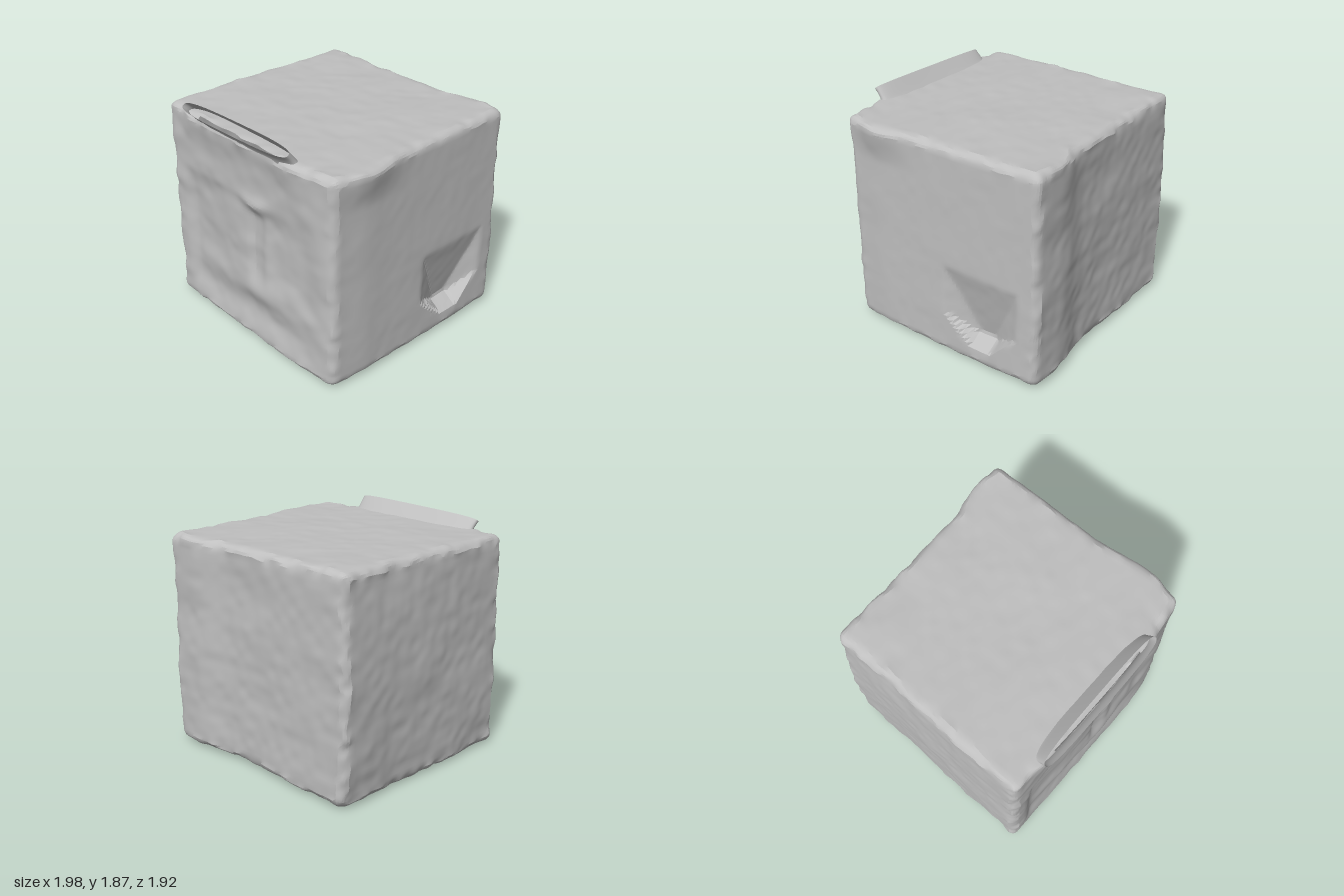
import * as THREE from 'three';
import { toCreasedNormals } from 'three/addons/utils/BufferGeometryUtils.js';

const stone = new THREE.MeshStandardMaterial({ color: 0xbfbfbf, side: THREE.DoubleSide });
stone.name = 'stone grey';

const ss = THREE.MathUtils.smoothstep;
const lerp = THREE.MathUtils.lerp;
const bump = (v, c, w) => Math.exp(-(((v - c) / w) ** 2));

// Seeded value noise, about -1..1
function hash(i, j, k) {
  const s = Math.sin(i * 127.1 + j * 311.7 + k * 74.7) * 43758.5453;
  return (s - Math.floor(s)) * 2 - 1;
}
function noise(x, y, z) {
  const [i, j, k] = [x, y, z].map(Math.floor);
  const [a, b, c] = [x - i, y - j, z - k].map((t) => t * t * (3 - 2 * t));
  let sum = 0;
  for (let n = 0; n < 8; n++) {
    const [p, q, r] = [n & 1, (n >> 1) & 1, n >> 2];
    sum += hash(i + p, j + q, k + r) * (p ? a : 1 - a) * (q ? b : 1 - b) * (r ? c : 1 - c);
  }
  return sum;
}

// Shallow relief on the front: raised frame, brow, central step, lower bulge, swell under the lip
function frontRelief(x, y) {
  const inside = ss(x, -0.8, -0.68) * (1 - ss(x, 0.6, 0.85));
  const low = 1 - ss(y, 1.12, 1.3 + 0.25 * ss(x, 0.15, 0.6));
  const panel = -0.035 * inside * low * ss(y, 0.05, 0.3);
  const mid = ss(y, 0.5, 0.7) * (1 - ss(y, 1.12, 1.25));
  const step = 0.028 * mid * (ss(x, -0.6, -0.05) * (1 - ss(x, -0.01, 0.07)) + 0.6 * bump(x, 0.22, 0.06));
  const browKnob = 0.025 * bump(y, 1.25 + 0.2 * Math.max(0, x - 0.1), 0.06) * bump(x, 0.12, 0.16);
  const bulge = 0.045 * bump(y, 0.5, 0.13) * bump(x, 0.05, 0.55);
  const swell = 0.025 * ss(y, 1.5, 1.74) * ss(x, -0.75, -0.6) * (1 - ss(x, 0.5, 0.65));
  const chips = 0.01 * noise(x * 6, y * 8, 3.5) * ss(y, 0.05, 0.3);
  return 0.006 + panel + step + browKnob + bulge + swell + chips;
}

// Faceted dent low on the right side: long slope going in, sharp ledge below
function dent(y, z) {
  const side = Math.abs(z + 0.44);
  const floor = 0.16 + 0.95 * Math.max(0, side - 0.09);
  const slope = (0.8 - y) / 0.55, flank = (0.34 - side) / 0.28, ledge = (y - floor) / 0.09;
  return 0.13 * Math.max(0, Math.min(slope, flank, ledge, 1));
}

// Moves a point of the unit cube onto the worn, slightly skewed block
function shape(p) {
  const r = 0.07;
  const core = p.clone().clampScalar(-1 + r, 1 - r);
  p.sub(core).setLength(Math.min(r, p.length() || r)).add(core);
  const { x: u, y: v, z: w } = p;
  const right = (u + 1) / 2, back = (1 - w) / 2, up = (v + 1) / 2, front = ss(w, 0.8, 1);

  const xMax = 0.962 - 0.078 * back - 0.015 * back * up - 0.025 * ss(w, 0.6, 1)
    + 0.05 * bump(w, 0.62, 0.28) * ss(up, 0.82, 1);
  const xMin = -0.93 - 0.018 * back - 0.035 * Math.sin(Math.PI * up) * Math.sqrt(back);
  const zMax = 0.89 - 0.06 * right - 0.03 * ss(u, 0.65, 1);
  const zMin = -0.84 - 0.055 * right - 0.06 * ss(u, 0.3, 0.7);
  const yMin = 0.01 + 0.015 * right + 0.015 * ss(back, 0.7, 1);

  let x = lerp(xMin, xMax, right);
  const y = lerp(yMin, 1.77, up);
  let z = lerp(zMin, zMax, 1 - back);

  z += front * frontRelief(x, y);
  x -= ss(u, 0.9, 1) * dent(y, z);

  // Broad undulation, with finer chipping along the edges
  const edge = [u, v, w].filter((c) => Math.abs(c) > 0.93).length > 1 ? 0.013 : 0.004;
  const wave = (s) => 0.012 * noise(u * 2.6 + s, v * 3.4, w * 2.6 + s) + edge * noise(u * 11 + s, v * 11, w * 11);
  const calm = 1 - 0.7 * ss(u, 0.9, 1);
  p.set(x + wave(5) * calm, y + 0.7 * wave(17), z + wave(31) * (1 - 0.4 * front));
}

function block() {
  const n = 64;
  const geo = new THREE.BoxGeometry(2, 2, 2, n, n, n);
  const pos = geo.attributes.position;
  const p = new THREE.Vector3();

  // Open a slot along the top front edge, under the lip
  const inSlot = (i) => {
    p.fromBufferAttribute(pos, i);
    return p.y + p.z > 1.95 && p.x > -0.58 && p.x < 0.5;
  };
  const kept = [];
  const idx = geo.index.array;
  for (let i = 0; i < idx.length; i += 3) {
    const tri = [idx[i], idx[i + 1], idx[i + 2]];
    if (!tri.every(inSlot)) kept.push(...tri);
  }
  geo.setIndex(kept);
  geo.clearGroups();

  for (let i = 0; i < pos.count; i++) {
    p.fromBufferAttribute(pos, i);
    shape(p);
    pos.setXYZ(i, p.x, p.y, p.z);
  }
  geo.deleteAttribute('uv');
  return toCreasedNormals(geo, 0.35);
}

// Flared open lip: flat ovals lofted from the slot to the mouth, its front blending into the block
function lip() {
  const around = 64, rings = 8, pts = [], idx = [];
  const soften = (t, e) => Math.sign(t) * Math.abs(t) ** e;
  for (let j = 0; j <= rings; j++) {
    const t = j / rings;
    for (let i = 0; i < around; i++) {
      const a = (i / around) * Math.PI * 2;
      const c = soften(Math.cos(a), 0.6), s = soften(Math.sin(a), 0.7);
      const x = -0.045 + c * (0.65 - 0.1 * Math.sqrt(t) + 0.06 * t);
      const k = (x + 0.65) / 1.2;
      const y = lerp(1.715, 1.82 + 0.03 * k, t) + s * (0.055 - 0.02 * t);
      const flare = lerp(t, t * t, 0.5 - 0.5 * s);
      const z = lerp(0.835 - 0.04 * k, 0.925 - 0.045 * k, flare) - s * (0.055 - 0.013 * t);
      pts.push(x, y, z);
      if (j < rings) {
        const b = j * around + i, d = j * around + ((i + 1) % around);
        idx.push(b, d, b + around, d, d + around, b + around);
      }
    }
  }
  const geo = new THREE.BufferGeometry();
  geo.setAttribute('position', new THREE.Float32BufferAttribute(pts, 3));
  geo.setIndex(idx);
  return toCreasedNormals(geo, 0.6);
}

export function createModel() {
  const group = new THREE.Group();
  group.name = 'wornBlock';
  for (const [name, geo] of [['block', block()], ['topLip', lip()]]) {
    const mesh = new THREE.Mesh(geo, stone);
    mesh.name = name;
    group.add(mesh);
  }
  return group;
}
